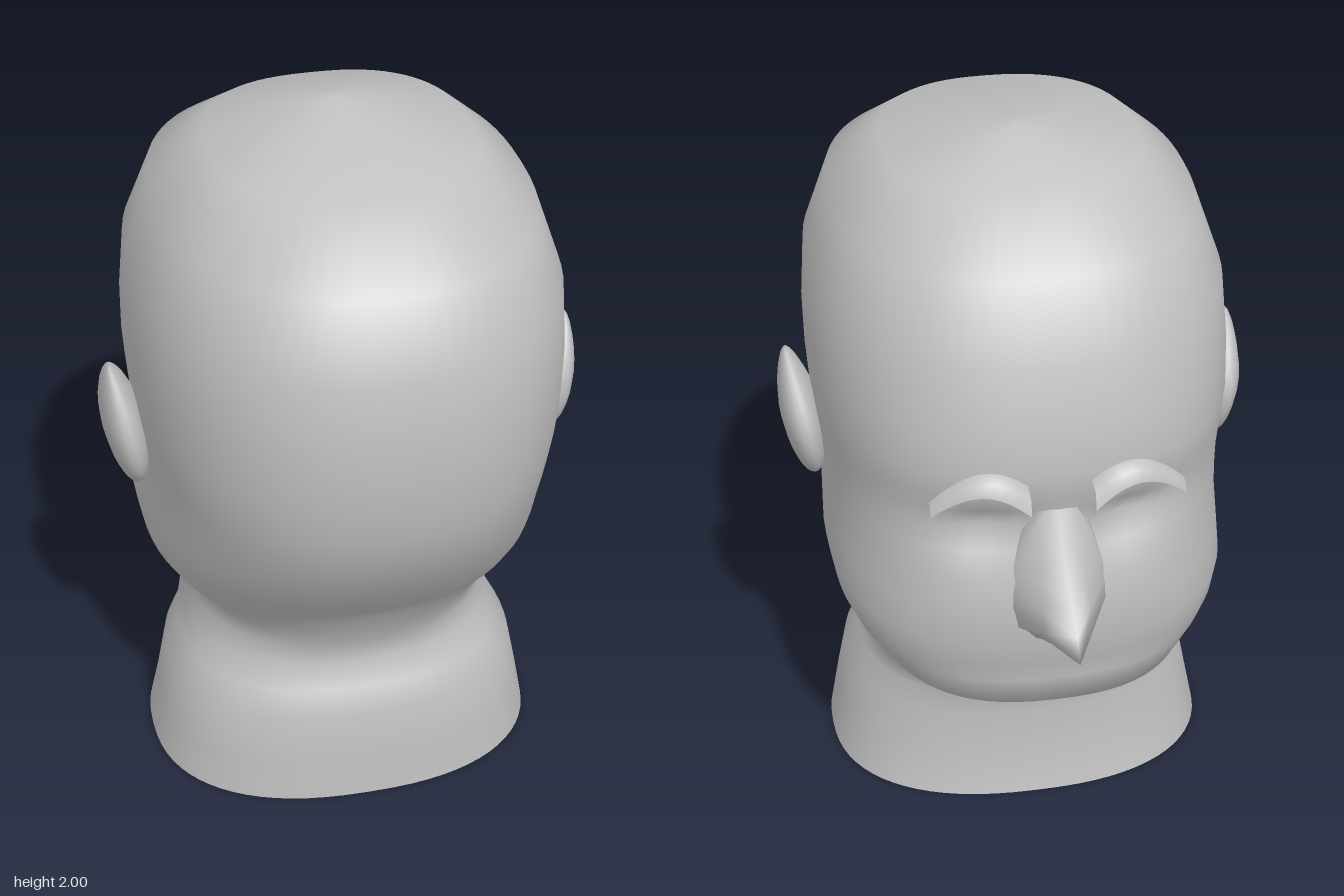
import * as THREE from 'three';

// Skin a stack of rings (each an array of [x, y, z]); closed rings wrap around.
function loft(rings, closed = true) {
  const n = rings[0].length, index = [];
  for (let r = 0; r < rings.length - 1; r++) {
    for (let i = 0; i < (closed ? n : n - 1); i++) {
      const j = (i + 1) % n, a = r * n, b = a + n;
      index.push(a + i, a + j, b + j, a + i, b + j, b + i);
    }
  }
  const geo = new THREE.BufferGeometry();
  geo.setAttribute('position', new THREE.Float32BufferAttribute(rings.flat(2), 3));
  geo.setIndex(index);
  geo.computeVertexNormals();
  return geo;
}

// Head and neck levels: height, half width, back z, face z
const LEVELS = [
  [0, 0.56, 0.57, -0.30], [0.13, 0.535, 0.56, -0.27], [0.28, 0.505, 0.55, -0.27],
  [0.35, 0.465, 0.51, -0.27], [0.42, 0.445, 0.47, -0.30], [0.49, 0.44, 0.485, -0.45],
  [0.55, 0.45, 0.51, -0.565], [0.63, 0.515, 0.55, -0.57], [0.69, 0.545, 0.60, -0.58],
  [0.77, 0.56, 0.665, -0.60], [0.87, 0.555, 0.74, -0.60], [0.97, 0.55, 0.80, -0.59],
  [1.05, 0.555, 0.83, -0.57], [1.11, 0.56, 0.848, -0.56], [1.17, 0.568, 0.858, -0.56],
  [1.22, 0.572, 0.865, -0.57], [1.30, 0.577, 0.873, -0.58], [1.41, 0.578, 0.872, -0.56],
  [1.59, 0.565, 0.855, -0.52], [1.79, 0.495, 0.77, -0.42], [1.93, 0.35, 0.54, -0.20],
  [1.996, 0.05, 0.13, 0.04],
];

function headGeometry() {
  const SEG = 72;
  const pow = (v, e) => Math.sign(v) * Math.abs(v) ** e;
  const rings = LEVELS.map(([y, w, zb, zf]) => {
    const mid = (zb + zf) / 2, half = (zb - zf) / 2;
    return Array.from({ length: SEG }, (_, i) => {
      const a = (i / SEG) * Math.PI * 2, c = Math.cos(a);
      // the neck and face are squarer than the back of the skull
      const e = y < 0.45 ? 0.84 : c < 0 ? 0.8 : 0.85;
      const x = w * pow(Math.sin(a), e);
      let z = mid + half * pow(c, e);
      // eye sockets pressed into the face
      if (z < 0) {
        const dx = (Math.abs(x) - 0.19) / 0.11, dy = (y - 1.11) / 0.06;
        z += 0.06 * Math.exp(-dx * dx - dy * dy);
      }
      return [x, y, z];
    });
  });
  rings.push(Array.from({ length: SEG }, () => [0, 2, 0.08]));
  return loft(rings);
}

// Nose levels: height, half width at the face, ridge z
function noseGeometry() {
  const levels = [
    [0.76, 0.07, -0.59], [0.82, 0.12, -0.67], [0.90, 0.135, -0.87], [0.955, 0.13, -0.83],
    [1.01, 0.12, -0.75], [1.10, 0.09, -0.62], [1.18, 0.05, -0.56],
  ];
  return loft(levels.map(([y, w, z]) => {
    // flanks run straight from the ridge, then sink into the face
    const foot = Math.max(z, -0.57), m = (foot + z) / 2;
    return [
      [0, y, -0.42], [w * 1.1, y, -0.5], [w, y, foot], [w * 0.5, y, m],
      [0, y, z], [-w * 0.5, y, m], [-w, y, foot], [-w * 1.1, y, -0.5],
    ];
  }));
}

// Arched ribbon that overhangs the eye
function browGeometry(side) {
  const rows = [];
  for (let i = 0; i <= 10; i++) {
    const t = i / 10;
    const x = side * (0.085 + 0.255 * t);
    const arch = 1.235 + 0.09 * Math.sin(Math.PI * (0.15 + 0.85 * t)) ** 0.9;
    const z = -0.585 + 0.035 * t * t;
    const d = 1 - 0.5 * t;
    rows.push([
      [x, arch, z],
      [x, arch - 0.015 * d, z - 0.045 * d],
      [x, arch - 0.06 * d, z - 0.06 * d],
    ]);
  }
  return loft(rows, false);
}

// Lens-shaped ear with a pointed top
function earGeometry() {
  const geo = new THREE.SphereGeometry(1, 18, 14);
  const p = geo.attributes.position;
  for (let i = 0; i < p.count; i++) {
    const y = p.getY(i), top = Math.max(0, y);
    const pinch = 1 - 0.3 * top * top;
    p.setXYZ(i, p.getX(i) * 0.058 * pinch, y * 0.185 + 0.012 * top ** 4,
      p.getZ(i) * 0.16 * pinch + 0.03 * top * top);
  }
  geo.computeVertexNormals();
  return geo;
}

export function createModel() {
  const group = new THREE.Group();
  const skin = new THREE.MeshStandardMaterial({ color: 0xc0c0c0, side: THREE.DoubleSide });
  skin.name = 'light grey';
  const add = (name, geo) => {
    const mesh = new THREE.Mesh(geo, skin);
    mesh.name = name;
    group.add(mesh);
    return mesh;
  };

  add('headAndNeck', headGeometry());
  add('nose', noseGeometry());

  // The face looks toward -z; paired parts mirror across x
  for (const side of [1, -1]) {
    const label = side > 0 ? 'left' : 'right';
    add(label + 'Brow', browGeometry(side));
    const ear = add(label + 'Ear', earGeometry());
    ear.position.set(side * 0.603, 1.118, 0.15);
    ear.rotation.z = -side * 0.17;
  }
  return group;
}
